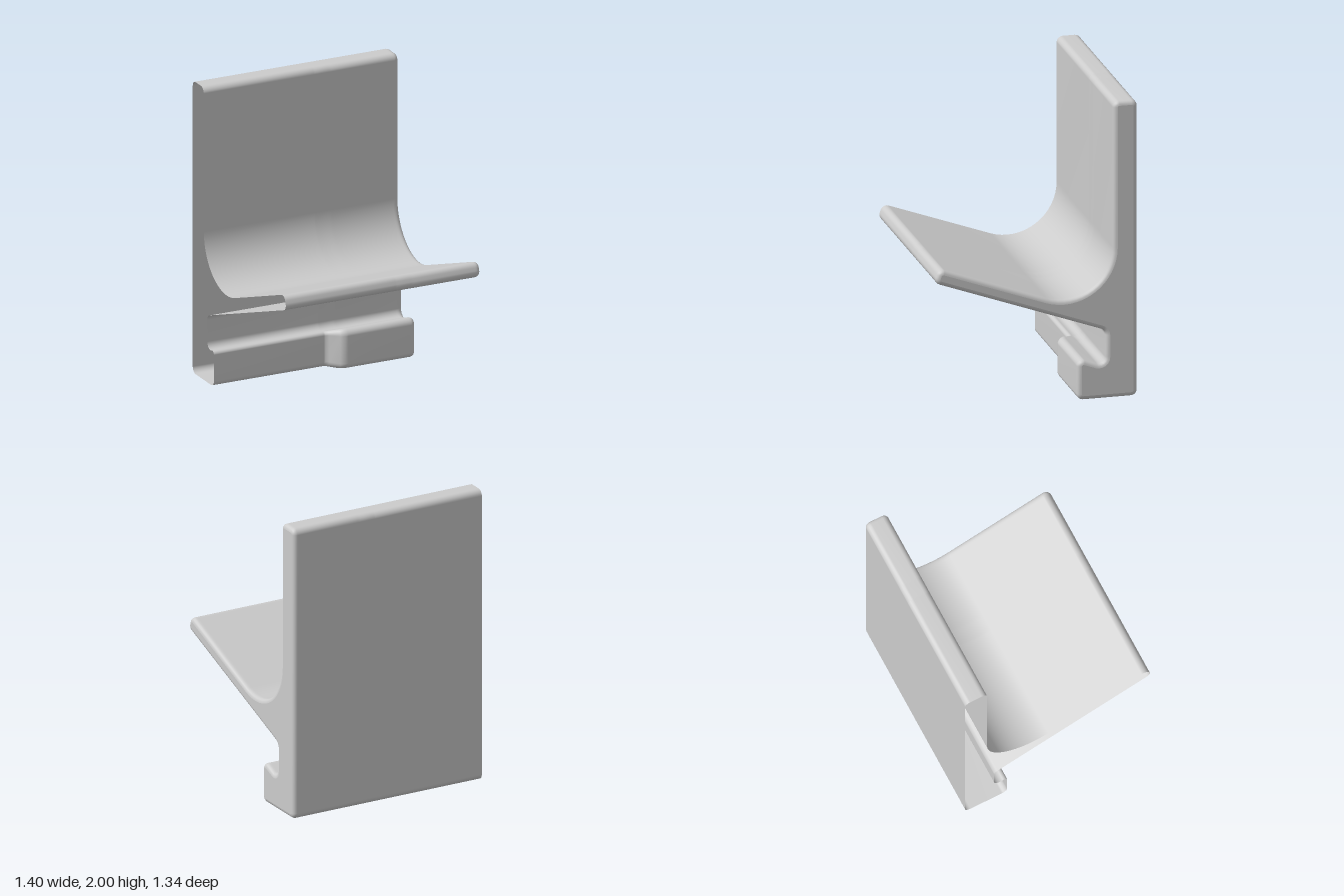
import * as THREE from 'three';

const SLOPE = Math.tan(THREE.MathUtils.degToRad(20)); // tilt of the shelf and the lip top

// Corners of the cross-section as [z, y, radius, segments]; lip runs from 0 (recessed) to 1 (full)
function corners(lip) {
  const lipZ = THREE.MathUtils.lerp(-0.365, -0.27, lip);
  const lipR = THREE.MathUtils.lerp(0.022, 0.04, lip);
  return [
    [-0.67, 0, 0.04, 5],
    [-0.67, 2, 0.04, 5],
    [-0.51, 2, 0.04, 5],
    [-0.51, 0.545, 0.33, 16],
    [0.647, 0.966, 0.04, 6],
    [0.681, 0.872, 0.04, 6],
    [-0.46, 0.457, 0.045, 5],
    [-0.46, 0.215, 0.045, 6],
    [lipZ, 0.215 + (lipZ + 0.46) * SLOPE, lipR, 6],
    [lipZ, 0, 0.04, 5],
  ];
}

// Replaces each corner with a tangent arc
function roundedProfile(list) {
  const points = [];
  list.forEach(([z, y, r, segments], i) => {
    const p = new THREE.Vector2(z, y);
    const toward = (c) => new THREE.Vector2(c[0], c[1]).sub(p).normalize();
    const a = toward(list[(i + list.length - 1) % list.length]);
    const b = toward(list[(i + 1) % list.length]);
    const half = Math.acos(a.dot(b)) / 2;
    const center = a.clone().add(b).normalize().multiplyScalar(r / Math.sin(half)).add(p);
    const start = p.clone().addScaledVector(a, r / Math.tan(half)).sub(center);
    const turn = Math.sign(a.cross(b)) * -(Math.PI - 2 * half);
    for (let k = 0; k <= segments; k++) {
      points.push(start.clone().rotateAround(new THREE.Vector2(), turn * k / segments).add(center));
    }
  });
  return points;
}

// Moves a clockwise outline inward
function inset(points, distance) {
  const n = points.length;
  return points.map((p, i) => {
    const t = points[(i + 1) % n].clone().sub(points[(i + n - 1) % n]).normalize();
    return new THREE.Vector2(p.x + t.y * distance, p.y - t.x * distance);
  });
}

// Skin through the cross-sections
function loft(sections) {
  const n = sections[0].points.length;
  const positions = [];
  const index = [];
  sections.forEach(({ x, points }, s) => {
    points.forEach((p, i) => {
      positions.push(x, p.y, p.x);
      if (s === sections.length - 1) return;
      const a = s * n + i;
      const b = s * n + (i + 1) % n;
      index.push(a, b, a + n, b, b + n, a + n);
    });
  });
  const geometry = new THREE.BufferGeometry();
  geometry.setAttribute('position', new THREE.Float32BufferAttribute(positions, 3));
  geometry.setIndex(index);
  geometry.computeVertexNormals();
  return geometry;
}

export function createModel() {
  const group = new THREE.Group();
  group.name = 'shelfBracket';
  const grey = new THREE.MeshStandardMaterial({ color: 0xcccccc, side: THREE.DoubleSide });
  grey.name = 'light grey';

  // Long body: the lip steps forward between x = 0.1 and x = 0.2
  const sections = [[-0.7, 0], [0.09, 0], [0.1, 0.03], [0.12, 0.16], [0.17, 0.84], [0.2, 0.98], [0.22, 1], [0.66, 1]]
    .map(([x, lip]) => ({ x, points: roundedProfile(corners(lip)) }));

  // Rounded edge at the closed end
  const full = roundedProfile(corners(1));
  const edge = 0.028;
  for (let k = 0; k <= 4; k++) {
    const angle = (k / 4) * Math.PI / 2;
    sections.push({
      x: 0.7 - edge + edge * Math.sin(angle),
      points: inset(full, edge * (1 - Math.cos(angle))),
    });
  }
  const body = new THREE.Mesh(loft(sections), grey);
  body.name = 'bracketBody';
  group.add(body);

  // Flat face of the closed end; the other end stays open
  const outline = sections[sections.length - 1].points.map((p) => new THREE.Vector2(-p.x, p.y));
  const capGeometry = new THREE.ShapeGeometry(new THREE.Shape(outline));
  capGeometry.rotateY(Math.PI / 2).translate(0.7, 0, 0);
  const cap = new THREE.Mesh(capGeometry, grey);
  cap.name = 'endCap';
  group.add(cap);

  return group;
}
